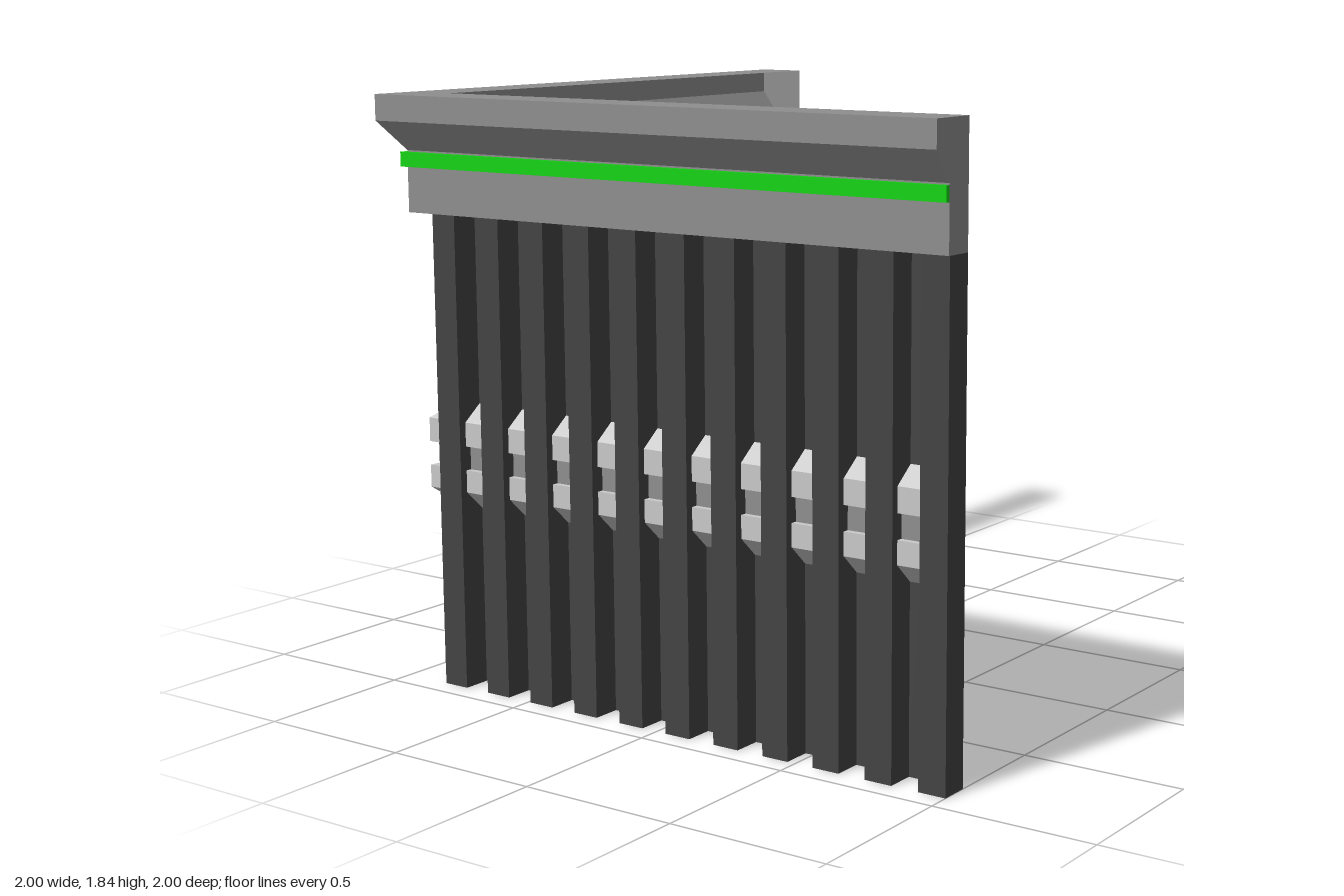
import * as THREE from 'three';

const RIDGE = 0.93, VALLEY = 0.84, WALL_TOP = 1.48;

const flat = (color, name) => {
  const m = new THREE.MeshStandardMaterial({ color, side: THREE.DoubleSide });
  m.name = name;
  return m;
};

// Flat-shaded geometry from a list of four-cornered faces
function quads(list) {
  const pos = [];
  for (const [a, b, c, d] of list) pos.push(...a, ...b, ...c, ...a, ...c, ...d);
  const g = new THREE.BufferGeometry();
  g.setAttribute('position', new THREE.Float32BufferAttribute(pos, 3));
  g.computeVertexNormals();
  return g;
}

// Sweep a profile of [distance outward, height] round both wings, mitred at the corner
function sweepWings(profile) {
  const stations = ([d, y]) => [[1, y, d], [-d, y, d], [-d, y, -1]];
  const faces = [];
  for (let i = 0; i < profile.length - 1; i++) {
    const p = stations(profile[i]), q = stations(profile[i + 1]);
    for (let s = 0; s < 2; s++) faces.push([p[s], p[s + 1], q[s + 1], q[s]]);
  }
  return quads(faces);
}

// Flat plates closing a profile at the two free ends
const endShape = (profile) => new THREE.ShapeGeometry(
  new THREE.Shape(profile.map(([d, y]) => new THREE.Vector2(d, y))));
const sideEnd = (profile) => endShape(profile).rotateY(-Math.PI / 2).translate(1, 0, 0);
const backEnd = (profile) => endShape(profile).rotateY(Math.PI).translate(0, 0, -1);

// Plan of the corrugated sheet: square ridges and valleys, notched at the corner
function sheetPlan() {
  const plan = [[1, VALLEY]];
  const x = (i) => -RIDGE + (1 + RIDGE) * i / 22;
  const z = (k) => RIDGE - (1 + RIDGE) * k / 21;
  for (let i = 21; i >= 0; i--) {
    const d = i % 2 ? RIDGE : VALLEY;
    plan.push([x(i + 1), d], [x(i), d]);
  }
  for (let k = 1; k <= 20; k++) {
    const d = k % 2 ? RIDGE : VALLEY;
    plan.push([-d, z(k)], [-d, z(k + 1)]);
  }
  return plan;
}

export function createModel() {
  const group = new THREE.Group();
  const concrete = flat(0x8e8e8e, 'concrete grey');
  const steel = flat(0x434343, 'dark steel');
  const pale = flat(0xc9c9c9, 'pale grey');
  const green = flat(0x12d412, 'bright green');
  const add = (geometry, material, name) => {
    const mesh = new THREE.Mesh(geometry, material);
    mesh.name = name;
    group.add(mesh);
  };

  // Corrugated wall
  const plan = sheetPlan();
  const wall = [];
  for (let i = 0; i < plan.length - 1; i++) {
    const [ax, az] = plan[i], [bx, bz] = plan[i + 1];
    wall.push([[ax, WALL_TOP, az], [bx, WALL_TOP, bz], [bx, 0, bz], [ax, 0, az]]);
  }
  add(quads(wall), steel, 'corrugatedWall');
  add(sweepWings([[VALLEY, WALL_TOP], [0.935, WALL_TOP]]), steel, 'wallTopLedge');

  // Capping beam, open on the inner side
  const cap = [[VALLEY, 1.84], [1, 1.84], [1, 1.76], [0.935, 1.67], [0.935, WALL_TOP]];
  const capEnd = [...cap, [VALLEY, WALL_TOP]];
  add(sweepWings(cap), concrete, 'cappingBeam');
  add(sideEnd(capEnd), concrete, 'cappingBeamSideEnd');
  add(backEnd(capEnd), concrete, 'cappingBeamBackEnd');

  // Green strip under the cap, showing on both faces
  const strip = [[0.93, 1.665], [0.95, 1.665], [0.95, 1.62], [0.93, 1.62]];
  add(sweepWings([...strip, strip[0]]), green, 'greenStrip');
  const nub = strip.map(([d, y]) => [Math.max(d, 0.935), y]);
  add(sideEnd(nub), green, 'greenStripSideEnd');
  add(backEnd(nub), green, 'greenStripBackEnd');

  // Waling band threaded through the corrugations
  const upper = [[VALLEY, 0.89], [0.905, 0.84], [0.905, 0.765], [0.885, 0.765]];
  const lower = [[0.885, 0.69], [0.905, 0.69], [0.905, 0.62], [VALLEY, 0.56]];
  add(sweepWings(upper), pale, 'upperWalingRail');
  add(sweepWings([upper[3], lower[0]]), concrete, 'walingGroove');
  add(sweepWings(lower), pale, 'lowerWalingRail');
  add(backEnd([...upper, ...lower]), pale, 'walingBackEnd');

  return group;
}
